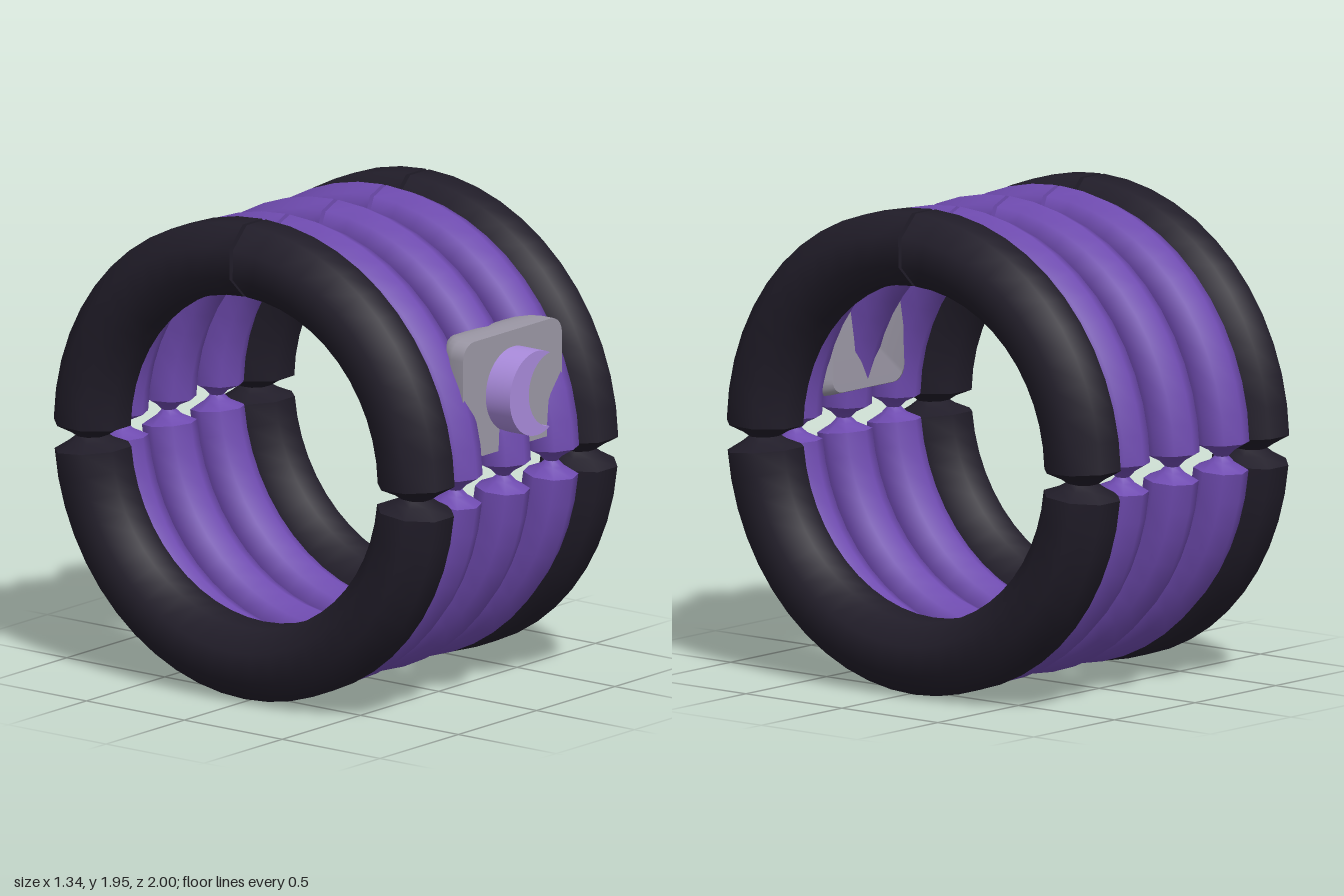
import * as THREE from 'three';
import { toCreasedNormals } from 'three/addons/utils/BufferGeometryUtils.js';

const CY = 0.98, CZ = -0.025;
const mat = (color) => new THREE.MeshStandardMaterial({ color });

// Joins closed loops of points (each an array of Vector3) into one surface.
function loft(loops, closed, crease) {
  const n = loops[0].length, pos = [], index = [];
  loops.forEach((l) => l.forEach((p) => pos.push(p.x, p.y, p.z)));
  const rows = closed ? loops.length : loops.length - 1;
  for (let i = 0; i < rows; i++) {
    for (let j = 0; j < n; j++) {
      const k = (j + 1) % n, i2 = (i + 1) % loops.length;
      const a = i * n + j, b = i * n + k, c = i2 * n + j, d = i2 * n + k;
      index.push(a, b, c, b, d, c);
    }
  }
  if (!closed) {
    const last = (loops.length - 1) * n;
    for (let j = 1; j < n - 1; j++) {
      index.push(0, j + 1, j, last, last + j, last + j + 1);
    }
  }
  const g = new THREE.BufferGeometry();
  g.setAttribute('position', new THREE.Float32BufferAttribute(pos, 3));
  g.setIndex(index);
  return toCreasedNormals(g, crease);
}

// Eight-sided ring, pinched at front and back, with a narrow seam on top.
function ringGeometry(R, r, neck, turn) {
  const stations = []; // [angle in degrees, tube scale, seam flag]
  const pinch = (at) => {
    [[-3.6, 1], [-1.5, neck + 0.2], [0, neck], [1.5, neck + 0.2], [3.6, 1]]
      .forEach(([d, s]) => stations.push([at + d, s, 0]));
  };
  const arc = (from, to, steps) => {
    for (let i = 1; i < steps; i++) stations.push([from + ((to - from) * i) / steps, 1, 0]);
  };
  pinch(-2);
  arc(1.6, 89.4, 12);
  stations.push([89.4, 1, 0], [90, 0.15, 1], [90.6, 1, 0]);
  arc(90.6, 178.4, 12);
  pinch(182);
  arc(185.6, 354.4, 24);

  const loops = stations.map(([deg, s, seam]) => {
    const a = THREE.MathUtils.degToRad(deg);
    const mid = seam ? R - r * (1 - s) : R; // the seam opens outward only
    return Array.from({ length: 8 }, (_, j) => {
      const t = (j / 8) * Math.PI * 2 + turn;
      const q = mid + r * s * Math.cos(t);
      return new THREE.Vector3(r * s * Math.sin(t), CY + q * Math.sin(a), CZ + q * Math.cos(a));
    });
  });
  return loft(loops, true, 0.85);
}

// Rounded rectangle loop, counter-clockwise seen from the front.
function roundedLoop(hw, hh, rad, z) {
  const pts = [];
  [[1, 1], [-1, 1], [-1, -1], [1, -1]].forEach(([sx, sy], q) => {
    for (let i = 0; i <= 5; i++) {
      const a = (q + i / 5) * Math.PI / 2;
      pts.push(new THREE.Vector3(
        sx * (hw - rad) + rad * Math.cos(a), 1.31 + sy * (hh - rad) + rad * Math.sin(a), z));
    }
  });
  return pts;
}

export function createModel() {
  const model = new THREE.Group();
  const add = (name, geometry, material, x = 0) => {
    const mesh = new THREE.Mesh(geometry, material);
    mesh.name = name;
    mesh.position.x = x;
    model.add(mesh);
  };

  // Two thick dark outer rings
  const dark = mat(0x211d29);
  const outer = ringGeometry(0.828, 0.16, 0.4, Math.PI / 8);
  add('outerRingRight', outer, dark, -0.522);
  add('outerRingLeft', outer, dark, 0.522);

  // Three slimmer inner rings
  const violet = mat(0x6f4bb0);
  const inner = ringGeometry(0.855, 0.111, 0.26, 0);
  ['innerRingRight', 'innerRingMiddle', 'innerRingLeft']
    .forEach((name, i) => add(name, inner, violet, (i - 1) * 0.308));

  // Plate on the front, narrowing toward its back
  const plate = loft([
    roundedLoop(0.22, 0.225, 0.06, 0.705),
    roundedLoop(0.265, 0.235, 0.07, 0.735),
    roundedLoop(0.3, 0.24, 0.07, 0.775),
    roundedLoop(0.316, 0.24, 0.07, 0.815),
    roundedLoop(0.316, 0.24, 0.07, 0.877),
  ], false, 0.6);
  add('plate', plate, mat(0x9c98a6));

  // Crescent ornament: outer arc, then a shallower arc back between the tips
  const tip = 0.152;
  const crescent = new THREE.Shape();
  const a0 = Math.atan2(tip, 0.083), b0 = Math.atan2(tip, -0.018);
  crescent.absarc(0.002, 1.31, 0.173, a0, Math.PI * 2 - a0, false);
  crescent.absarc(0.103, 1.31, 0.153, Math.PI * 2 - b0, b0, true);
  const ornament = new THREE.ExtrudeGeometry(crescent, { depth: 0.14, bevelEnabled: false, curveSegments: 20 });
  ornament.translate(0, 0, 0.86);
  add('crescent', toCreasedNormals(ornament, 0.6), mat(0xa98bdb));

  return model;
}
